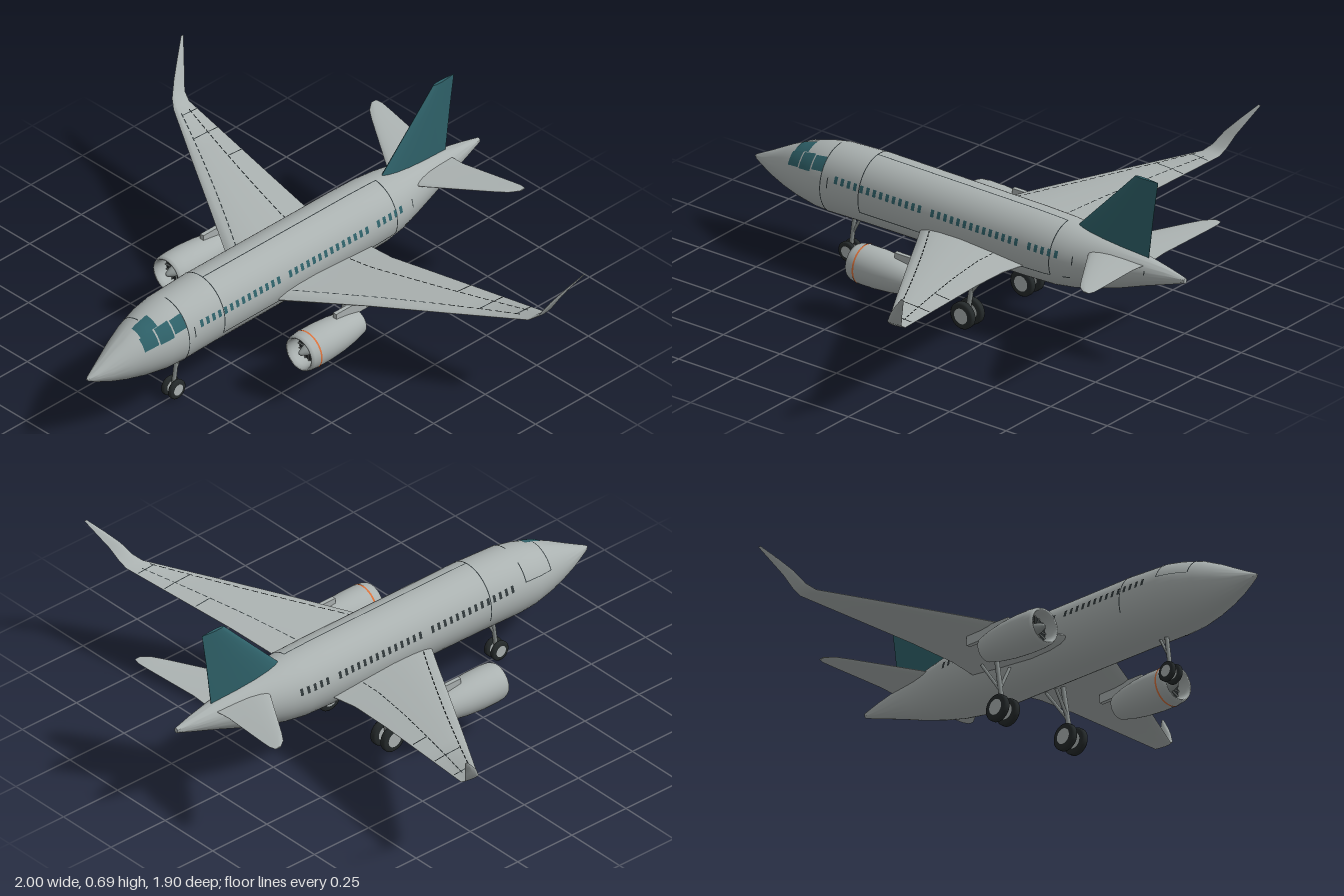
import * as THREE from 'three';
import { mergeGeometries, toCreasedNormals } from 'three/addons/utils/BufferGeometryUtils.js';

const V = (x, y, z) => new THREE.Vector3(x, y, z);
const paint = (name, color) => Object.assign(new THREE.MeshStandardMaterial({ color }), { name });

// Linear lookup in rows sorted by their first number
function lookup(rows, k) {
  let i = 0;
  while (i < rows.length - 2 && k > rows[i + 1][0]) i++;
  const a = rows[i], b = rows[i + 1], t = (k - a[0]) / (b[0] - a[0]);
  return a.map((v, j) => v + (b[j] - v) * t);
}

// Closed skin through equal rings of points, capped at both ends, always facing outward
function loft(rings, crease = 0.7) {
  const n = rings[0].length, pts = rings.flat(), idx = [];
  const tri = (a, b, c) => idx.push(a, b, c);
  for (let i = 0; i < rings.length - 1; i++) for (let j = 0; j < n; j++) {
    const a = i * n + j, b = i * n + (j + 1) % n;
    tri(a, b, b + n); tri(a, b + n, a + n);
  }
  const last = (rings.length - 1) * n;
  for (let j = 1; j < n - 1; j++) { tri(0, j + 1, j); tri(last, last + j, last + j + 1); }
  let volume = 0;
  for (let i = 0; i < idx.length; i += 3)
    volume += pts[idx[i]].dot(pts[idx[i + 1]].clone().cross(pts[idx[i + 2]]));
  if (volume < 0) idx.reverse();
  const g = new THREE.BufferGeometry().setFromPoints(pts);
  g.setIndex(idx);
  return toCreasedNormals(g, crease);
}

// Fuselage stations: z, bottom, top, half width
const BODY = [
  [-0.95, 0.345, 0.365, 0.008], [-0.87, 0.318, 0.382, 0.027], [-0.78, 0.288, 0.397, 0.046],
  [-0.68, 0.252, 0.41, 0.068], [-0.58, 0.222, 0.425, 0.092], [-0.5, 0.203, 0.435, 0.111],
  [-0.42, 0.191, 0.441, 0.12], [-0.3, 0.186, 0.444, 0.122], [0.4, 0.18, 0.445, 0.122],
  [0.57, 0.176, 0.436, 0.121], [0.64, 0.179, 0.422, 0.114], [0.72, 0.19, 0.398, 0.094],
  [0.79, 0.206, 0.365, 0.071], [0.86, 0.228, 0.327, 0.044], [0.91, 0.25, 0.301, 0.023],
  [0.94, 0.264, 0.286, 0.01], [0.95, 0.273, 0.279, 0.003]];
// Skin point at station z and angle a, measured from the top towards +x
function skin(z, a, lift = 0) {
  const [, lo, hi, w] = lookup(BODY, z);
  return V((w + lift) * Math.sin(a), (lo + hi) / 2 + ((hi - lo) / 2 + lift) * Math.cos(a), z);
}
function angleAt(z, y) {
  const [, lo, hi] = lookup(BODY, z);
  return Math.acos((2 * y - lo - hi) / (hi - lo));
}
// Thin painted patch lying on the fuselage
function patch(z0, z1, a0, a1) {
  const nz = Math.max(1, Math.ceil((z1 - z0) / 0.02)), na = Math.max(1, Math.ceil((a1 - a0) / 0.1));
  const pts = [], idx = [];
  for (let i = 0; i <= nz; i++) for (let j = 0; j <= na; j++)
    pts.push(skin(z0 + (z1 - z0) * i / nz, a0 + (a1 - a0) * j / na, 0.002));
  for (let i = 0; i < nz; i++) for (let j = 0; j < na; j++) {
    const p = i * (na + 1) + j, q = p + na + 1;
    idx.push(p, q, q + 1, p, q + 1, p + 1);
  }
  const g = new THREE.BufferGeometry().setFromPoints(pts);
  g.setIndex(idx);
  g.computeVertexNormals();
  return g;
}

// Airfoil: chord fraction and relative half thickness
const FOIL = [[0, 0], [0.02, 0.35], [0.08, 0.7], [0.2, 0.95], [0.4, 1], [0.7, 0.6], [1, 0.06]];
// Sections: span x, y, leading z, trailing z, half thickness
function foil(sections, side = 1) {
  return loft(sections.map(([x, y, le, te, t], i) => {
    const p = sections[Math.max(0, i - 1)], q = sections[Math.min(sections.length - 1, i + 1)];
    const d = new THREE.Vector2(q[0] - p[0], q[1] - p[1]).normalize();
    const at = ([f, h], s) => V(side * (x - d.y * h * t * s), y + d.x * h * t * s, le + (te - le) * f);
    return [...FOIL.map(r => at(r, 1)), ...FOIL.slice(1).reverse().map(r => at(r, -1))];
  }), 0.8);
}
const WING = [
  [0, 0.262, 0.2, -0.32, 0.024], [0.12, 0.27, 0.13, -0.32, 0.024], [0.22, 0.281, 0.068, -0.315, 0.019],
  [0.4, 0.301, -0.04, -0.337, 0.013], [0.65, 0.323, -0.19, -0.373, 0.009], [0.88, 0.343, -0.33, -0.406, 0.005],
  [0.91, 0.365, -0.352, -0.414, 0.004], [0.935, 0.415, -0.385, -0.436, 0.003],
  [0.965, 0.465, -0.43, -0.464, 0.003], [1, 0.52, -0.483, -0.494, 0.002]];
const TAILPLANE = [
  [0, 0.375, -0.54, -0.79, 0.012], [0.09, 0.38, -0.59, -0.787, 0.01], [0.3, 0.398, -0.725, -0.815, 0.005],
  [0.345, 0.402, -0.757, -0.82, 0.004], [0.37, 0.404, -0.79, -0.815, 0.002]];
const FIN = [
  [0, 0.39, -0.44, -0.788, 0.018], [0, 0.435, -0.48, -0.794, 0.017],
  [0, 0.57, -0.61, -0.811, 0.011], [0, 0.695, -0.73, -0.83, 0.006]];

// Thin strip on the wing's upper face from (x, chord fraction) to another
function wingLine(side, x0, f0, x1, f1) {
  const at = (x, f) => {
    const [, y, le, te, t] = lookup(WING, x);
    return V(side * x, y + lookup(FOIL, f)[1] * t + 0.003, le + (te - le) * f);
  };
  const a = at(x0, f0), b = at(x1, f1);
  const w = b.clone().sub(a).cross(V(0, 1, 0)).setLength(0.002);
  if (w.z * (b.x - a.x) - w.x * (b.z - a.z) < 0) w.negate();
  const g = new THREE.BufferGeometry().setFromPoints(
    [a.clone().sub(w), a.clone().add(w), b.clone().add(w), b.clone().sub(w)]);
  g.setIndex([0, 1, 2, 0, 2, 3]);
  g.computeVertexNormals();
  return g;
}

export function createModel() {
  const grey = paint('skinGrey', 0xabb2b1), teal = paint('teal', 0x2f626a), dark = paint('seamDark', 0x30383a);
  const rubber = paint('rubber', 0x252a2b), metal = paint('metal', 0x8a9190), orange = paint('orange', 0xd8703a);
  const model = new THREE.Group();
  model.name = 'airliner';
  const add = (name, geo, mat, parent = model) => {
    const m = new THREE.Mesh(geo, mat);
    m.name = name;
    parent.add(m);
    return m;
  };
  const group = name => {
    const g = new THREE.Group();
    g.name = name;
    model.add(g);
    return g;
  };
  const lathe = (pts, segs = 32) => new THREE.LatheGeometry(pts.map(p => new THREE.Vector2(...p)), segs);
  const rod = (name, a, b, r, parent) => {
    const m = add(name, new THREE.CylinderGeometry(r, r, a.distanceTo(b), 10), metal, parent);
    m.position.copy(a).lerp(b, 0.5);
    m.quaternion.setFromUnitVectors(V(0, 1, 0), b.clone().sub(a).normalize());
  };

  // Fuselage
  add('fuselage', loft(BODY.map(([z]) =>
    Array.from({ length: 48 }, (_, j) => skin(z, j / 24 * Math.PI)))), grey);

  // Cabin windows, with gaps near the doors
  const rows = { 1: [], [-1]: [] };
  for (let z = -0.465; z < 0.51; z += 0.0285) {
    if (Math.abs(z - 0.095) < 0.016 || Math.abs(z + 0.33) < 0.012) continue;
    const a0 = angleAt(z, 0.366), a1 = angleAt(z, 0.341);
    rows[1].push(patch(z - 0.007, z + 0.007, a0, a1));
    rows[-1].push(patch(z - 0.006, z + 0.006, -a1, -a0));
  }
  add('leftCabinWindows', mergeGeometries(rows[1]), teal);
  add('rightCabinWindows', mergeGeometries(rows[-1]), dark);

  // Cockpit glazing
  add('cockpitGlass', mergeGeometries([patch(0.668, 0.738, 0.06, 0.6), patch(0.69, 0.745, 0.6, 1.15),
    patch(0.628, 0.684, 0.62, 1.17), patch(0.568, 0.622, 0.66, 1.1)]), teal);

  // Fuselage seams and door marks
  const low = angleAt(0, 0.265);
  add('fuselageSeams', mergeGeometries([
    patch(0.568, 0.572, 0, 2.9), patch(0.398, 0.402, -1.9, low), patch(-0.442, -0.438, 0.08, low),
    patch(-0.44, 0.4, low - 0.015, low + 0.015), patch(-0.44, 0.4, 0.08, 0.11),
    patch(0.699, 0.703, -1.2, 0), patch(0.566, 0.7, -1.2, -1.18), patch(0.566, 0.57, -1.2, -0.6),
    ...[0.54, -0.53, -0.67, -0.8].map(z => patch(z - 0.002, z + 0.002, 1.2, 1.5)),
    patch(-0.52, -0.49, 1.93, 1.97)]), dark);

  // Tail
  add('tailFin', foil(FIN), teal);

  for (const side of [1, -1]) {
    const label = side > 0 ? 'left' : 'right';
    add(label + 'Wing', foil(WING, side), grey);
    add(label + 'Tailplane', foil(TAILPLANE, side), grey);

    // Dashed flap and slat lines, and chordwise joints
    const lines = [[0.57, 0.7, 0.57, 0.98], [0.71, 0.25, 0.71, 0.68], [0.71, 0.7, 0.71, 0.98], [0.83, 0.25, 0.83, 0.95]]
      .map(l => wingLine(side, ...l));
    for (let x = 0.13; x < 0.85; x += 0.03) {
      const k = (x - 0.13) / 0.72, e = k + 0.03;
      lines.push(wingLine(side, x, 0.73 - 0.08 * k, x + 0.021, 0.73 - 0.08 * e),
        wingLine(side, x, 0.1 + 0.15 * k, x + 0.021, 0.1 + 0.15 * e));
    }
    add(label + 'WingLines', mergeGeometries(lines), dark);

    // Engine, its axis along z
    const engine = group(label + 'Engine');
    engine.position.set(side * 0.33, 0.202, 0);
    const along = (name, geo, mat) => add(name, geo.rotateX(Math.PI / 2), mat, engine);
    along('nacelle', lathe([[0.03, 0.01], [0.041, -0.038], [0.046, -0.04], [0.058, 0.01], [0.067, 0.07], [0.072, 0.14],
      [0.072, 0.2], [0.069, 0.23], [0.064, 0.243], [0.058, 0.241], [0.054, 0.225], [0.053, 0.17]], 40), grey);
    along('exhaustCone', lathe([[0, -0.045], [0.012, -0.03], [0.036, 0.015]]), dark);
    along('fanDisc', new THREE.CylinderGeometry(0.054, 0.054, 0.01, 32).translate(0, 0.185, 0), rubber);
    along('spinner', lathe([[0.022, 0.19], [0.018, 0.215], [0.009, 0.237], [0, 0.245]], 20), metal);
    for (let i = 0; i < 16; i++) {
      const blade = add('fanBlade', new THREE.BoxGeometry(0.005, 0.034, 0.004), metal, engine);
      blade.geometry.rotateY(0.5).translate(0, 0.035, 0.195);
      blade.rotation.z = i * Math.PI / 8;
    }
    if (side > 0) along('cowlStripe', lathe([[0.0735, 0.2], [0.0735, 0.207]], 40), orange);
    const pylon = add('pylon', new THREE.BoxGeometry(0.016, 0.045, 0.2), grey, engine);
    pylon.position.set(0, 0.064, -0.03);
  }

  // Landing gear
  const wheel = (x, y, z, r, w, parent) => {
    const g = new THREE.Group();
    g.name = 'wheel';
    g.position.set(x, y, z);
    g.rotation.z = -Math.PI / 2;
    parent.add(g);
    add('tyre', lathe([[r * 0.58, -w], [r * 0.88, -w], [r, -w * 0.55], [r, w * 0.55], [r * 0.88, w], [r * 0.58, w]]), rubber, g);
    add('hub', new THREE.CylinderGeometry(r * 0.6, r * 0.6, w * 1.9, 24), grey, g);
  };
  const nose = group('noseGear');
  for (const x of [-0.017, 0.017]) wheel(x, 0.037, 0.53, 0.037, 0.009, nose);
  rod('axle', V(-0.017, 0.037, 0.53), V(0.017, 0.037, 0.53), 0.006, nose);
  rod('strut', V(0, 0.037, 0.53), V(0, 0.2, 0.508), 0.008, nose);
  rod('brace', V(0, 0.105, 0.52), V(0, 0.2, 0.47), 0.005, nose);
  for (const s of [1, -1]) {
    const gear = group(s > 0 ? 'leftMainGear' : 'rightMainGear');
    for (const x of [0.142, 0.194]) wheel(s * x, 0.05, -0.12, 0.05, 0.013, gear);
    rod('axle', V(s * 0.142, 0.05, -0.12), V(s * 0.194, 0.05, -0.12), 0.008, gear);
    rod('strut', V(s * 0.168, 0.05, -0.12), V(s * 0.165, 0.265, -0.155), 0.009, gear);
    rod('sideBrace', V(s * 0.166, 0.14, -0.135), V(s * 0.115, 0.235, -0.14), 0.006, gear);
    rod('rearBrace', V(s * 0.167, 0.13, -0.133), V(s * 0.16, 0.26, -0.23), 0.006, gear);
  }
  return model;
}
